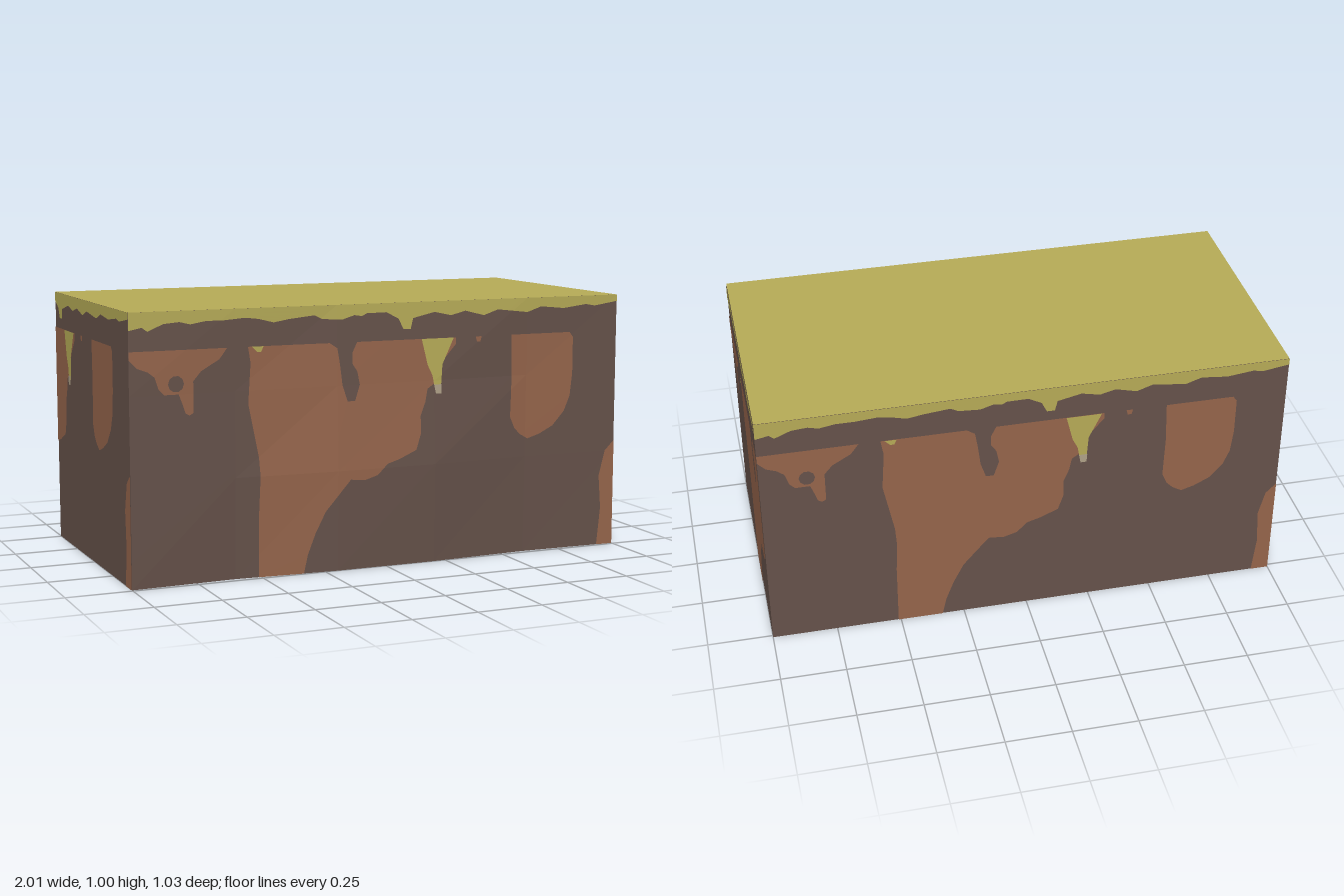
import * as THREE from 'three';

const mat = (name, color) => new THREE.MeshStandardMaterial({ name, color });

// Front face relief: depth at 6 columns for each row height, bottom to top
const ROWS = [0, 0.38, 0.7, 1];
const DEPTH = [
  [0.49, 0.475, 0.5, 0.5, 0.48, 0.49],
  [0.49, 0.485, 0.506, 0.509, 0.485, 0.49],
  [0.49, 0.485, 0.495, 0.495, 0.485, 0.49],
  [0.49, 0.49, 0.49, 0.49, 0.49, 0.49],
];
const BACK = -0.51;

function frontDepth(x, y) {
  const gx = (x + 1) / 0.4;
  const i = Math.min(4, Math.max(0, Math.floor(gx)));
  const j = y < ROWS[1] ? 0 : y < ROWS[2] ? 1 : 2;
  const s = gx - i, t = (y - ROWS[j]) / (ROWS[j + 1] - ROWS[j]);
  const b = DEPTH[j][i], c = DEPTH[j][i + 1], a = DEPTH[j + 1][i], d = DEPTH[j + 1][i + 1];
  return t >= s ? b + t * (a - b) + s * (d - a) : b + s * (c - b) + t * (d - c);
}

// Crease lines of the relief, each as nx * x + ny * y = d
const CREASES = [[0, 1, ROWS[1]], [0, 1, ROWS[2]]];
for (let i = 0; i < 5; i++) {
  const x = -1 + 0.4 * i;
  if (i > 0) CREASES.push([1, 0, x]);
  for (let j = 0; j < 3; j++) {
    const h = ROWS[j + 1] - ROWS[j];
    CREASES.push([-h, 0.4, 0.4 * ROWS[j] - h * x]);
  }
}

// Each side takes part of one continuous mural that runs from u = -1 to 1
const SIDES = [
  { name: 'front', range: [-1, 1], creases: CREASES, place: (u, y, o) => [u, y, frontDepth(u, y) + o] },
  { name: 'back', range: [-1, 1], creases: [], place: (u, y, o) => [-u, y, BACK - o] },
  { name: 'left', range: [-1, 0], creases: [], place: (u, y, o) => [1 + o, y, BACK - u] },
  { name: 'right', range: [0, 1], creases: [], place: (u, y, o) => [-1 - o, y, BACK + u] },
];

// Mural outlines
const earthLeft = {
  points: [[-1, 0.86], [-1, 0.83], [-0.97, 0.8], [-0.93, 0.785], [-0.905, 0.765], [-0.89, 0.72], [-0.87, 0.7],
    [-0.815, 0.7], [-0.8, 0.66], [-0.79, 0.63], [-0.775, 0.622], [-0.76, 0.63], [-0.76, 0.745], [-0.73, 0.78],
    [-0.66, 0.82], [-0.63, 0.86]],
  hole: [-0.825, 0.738, 0.03],
};
const earthMiddle = {
  points: [[-0.55, 0.86], [-0.54, 0.8], [-0.55, 0.65], [-0.53, 0.55], [-0.51, 0.45], [-0.505, 0.38], [-0.51, 0.25],
    [-0.51, 0], [-0.335, 0], [-0.32, 0.07], [-0.29, 0.15], [-0.25, 0.23], [-0.19, 0.3], [-0.15, 0.345],
    [-0.09, 0.34], [-0.04, 0.355], [0, 0.395], [0.05, 0.41], [0.12, 0.44], [0.14, 0.5], [0.14, 0.57],
    [0.16, 0.62], [0.17, 0.67], [0.2, 0.69], [0.24, 0.78], [0.29, 0.835], [0.29, 0.86], [-0.12, 0.86],
    [-0.14, 0.82], [-0.14, 0.78], [-0.12, 0.75], [-0.11, 0.7], [-0.13, 0.64], [-0.16, 0.64], [-0.18, 0.7],
    [-0.19, 0.78], [-0.2, 0.84], [-0.23, 0.86]],
};
const earthPocket = {
  points: [[0.53, 0.86], [0.535, 0.7], [0.53, 0.54], [0.55, 0.495], [0.575, 0.47], [0.61, 0.45], [0.66, 0.465],
    [0.72, 0.495], [0.77, 0.55], [0.795, 0.61], [0.805, 0.7], [0.805, 0.84], [0.79, 0.86]],
};
const earthCorner = { points: [[1, 0.42], [0.96, 0.38], [0.935, 0.28], [0.945, 0.15], [0.93, 0], [1, 0]] };
const earthFleck = { points: [[0.375, 0.86], [0.38, 0.84], [0.395, 0.84], [0.4, 0.86]] };
const grassDrip = { points: [[0.145, 0.86], [0.17, 0.76], [0.19, 0.72], [0.2, 0.67], [0.226, 0.67], [0.232, 0.76], [0.28, 0.86]] };
const grassFleck = { points: [[-0.535, 0.86], [-0.515, 0.84], [-0.5, 0.84], [-0.49, 0.86]] };
const dripTip = { points: [[0.196, 0.685], [0.203, 0.65], [0.226, 0.65], [0.228, 0.685]] };
const grassFringe = {
  points: [[-1, 1], [-1, 0.935], [-0.95, 0.945], [-0.93, 0.93], [-0.87, 0.955], [-0.81, 0.96], [-0.77, 0.95],
    [-0.71, 0.96], [-0.64, 0.96], [-0.56, 0.966], [-0.51, 0.96], [-0.45, 0.945], [-0.39, 0.955], [-0.29, 0.965],
    [-0.26, 0.95], [-0.18, 0.945], [-0.13, 0.96], [-0.1, 0.955], [-0.08, 0.965], [0, 0.966], [0.05, 0.94],
    [0.07, 0.9], [0.1, 0.9], [0.11, 0.94], [0.2, 0.96], [0.27, 0.945], [0.33, 0.96], [0.41, 0.94],
    [0.47, 0.96], [0.6, 0.945], [0.66, 0.965], [0.76, 0.955], [0.86, 0.967], [0.9, 0.96], [1, 0.975], [1, 1]],
};
const wall = { points: [[-1, 0], [1, 0], [1, 1], [-1, 1]] };

// Keep the part of an outline where nx * x + ny * y >= d
function clip(points, nx, ny, d) {
  const out = [];
  points.forEach((p, i) => {
    const q = points[(i + 1) % points.length];
    const dp = nx * p[0] + ny * p[1] - d, dq = nx * q[0] + ny * q[1] - d;
    if (dp >= 0) out.push(p);
    if (dp * dq < 0) {
      const t = dp / (dp - dq);
      out.push([p[0] + (q[0] - p[0]) * t, p[1] + (q[1] - p[1]) * t]);
    }
  });
  return out;
}

// Cut a convex piece along every crease
function cut(piece, creases) {
  return creases.reduce((pieces, [nx, ny, d]) => pieces
    .flatMap(p => [clip(p, nx, ny, d), clip(p, -nx, -ny, -d)])
    .filter(p => p.length > 2), [piece]);
}

// Lay an outline onto a side, raised by a small offset
function panel(side, { points, hole }, offset) {
  const outline = clip(clip(points, 1, 0, side.range[0]), -1, 0, -side.range[1]);
  if (outline.length < 3) return null;
  const contour = outline.map(p => new THREE.Vector2(...p));
  if (THREE.ShapeUtils.isClockWise(contour)) contour.reverse();
  const holes = [];
  if (hole) {
    const [cx, cy, r] = hole;
    holes.push(Array.from({ length: 10 }, (_, i) => {
      const a = -i / 10 * Math.PI * 2;
      return new THREE.Vector2(cx + r * Math.cos(a), cy + r * Math.sin(a));
    }));
  }
  const all = contour.concat(...holes), positions = [];
  for (const face of THREE.ShapeUtils.triangulateShape(contour, holes)) {
    for (const piece of cut(face.map(i => all[i].toArray()), side.creases)) {
      for (let i = 2; i < piece.length; i++) {
        const [a, b, c] = [piece[0], piece[i - 1], piece[i]];
        const area = (b[0] - a[0]) * (c[1] - a[1]) - (b[1] - a[1]) * (c[0] - a[0]);
        if (area > 1e-8) for (const p of [a, b, c]) positions.push(...side.place(p[0], p[1], offset));
      }
    }
  }
  const geo = new THREE.BufferGeometry();
  geo.setAttribute('position', new THREE.Float32BufferAttribute(positions, 3));
  geo.computeVertexNormals();
  return geo;
}

export function createModel() {
  const grass = mat('grass', 0xb8ad58);
  const soil = mat('dark soil', 0x67534b);
  const earth = mat('brown earth', 0x97664c);
  const stone = mat('pale stone', 0xb1a389);
  const model = new THREE.Group();
  model.name = 'groundBlock';
  const add = (parent, name, geo, material) => {
    if (!geo) return;
    const mesh = new THREE.Mesh(geo, material);
    mesh.name = name;
    parent.add(mesh);
  };

  // Walls with soil patches and grass fringe
  for (const side of SIDES) {
    const group = new THREE.Group();
    group.name = side.name + 'Side';
    model.add(group);
    add(group, 'wall', panel(side, wall, 0), soil);
    for (const patch of [earthLeft, earthMiddle, earthPocket, earthCorner, earthFleck]) {
      add(group, 'earthPatch', panel(side, patch, 0.002), earth);
    }
    add(group, 'grassFringe', panel(side, grassFringe, 0.002), grass);
    add(group, 'grassDrip', panel(side, grassDrip, 0.004), grass);
    add(group, 'grassFleck', panel(side, grassFleck, 0.004), grass);
    add(group, 'dripTip', panel(side, dripTip, 0.006), stone);
  }

  // Flat grass top, and underside following the front edge
  const top = new THREE.PlaneGeometry(2, 1).rotateX(-Math.PI / 2).translate(0, 1, -0.01);
  add(model, 'grassTop', top, grass);
  const frontEdge = DEPTH[0].map((z, i) => [-1 + 0.4 * i, z]).reverse();
  const outline = [[-1, BACK], [1, BACK], ...frontEdge].map(p => new THREE.Vector2(...p));
  const under = new THREE.ShapeGeometry(new THREE.Shape(outline));
  add(model, 'underside', under.rotateX(Math.PI / 2), stone);
  return model;
}
